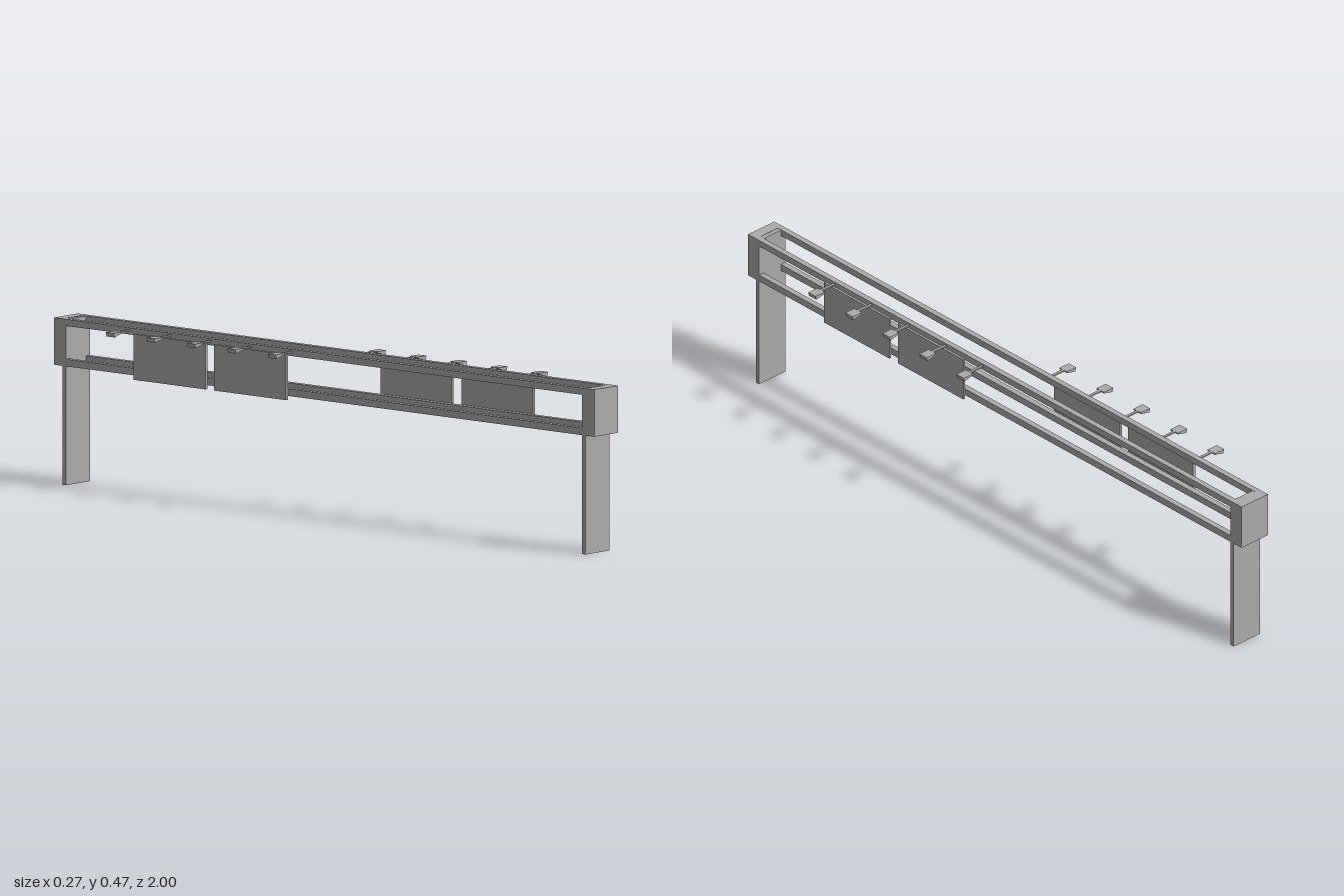
import * as THREE from 'three';

export function createModel() {
  const model = new THREE.Group();
  model.name = 'gantry';
  const grey = new THREE.MeshStandardMaterial({ color: 0xaaaaaa });
  grey.name = 'steel grey';

  // box given by its minimum and maximum on each axis
  function box(name, [x0, x1], [y0, y1], [z0, z1]) {
    const mesh = new THREE.Mesh(new THREE.BoxGeometry(x1 - x0, y1 - y0, z1 - z0), grey);
    mesh.name = name;
    mesh.position.set((x0 + x1) / 2, (y0 + y1) / 2, (z0 + z1) / 2);
    model.add(mesh);
  }

  const left = -0.052, right = 0.048, rail = 0.017;

  // four long rails
  for (const [name, y] of [['topRail', [0.446, 0.465]], ['bottomRail', [0.333, 0.353]]]) {
    box(name, [left, left + rail], y, [-0.968, 0.968]);
    box(name, [right - rail, right], y, [-0.968, 0.968]);
  }

  // end plates, with the legs fixed to their inner faces
  for (const s of [-1, 1]) {
    const span = (a, b) => [s * a, s * b].sort((p, q) => p - q);
    box('endPlate', [left, right], [0.333, 0.465], span(0.968, 1));
    box('leg', [left, right], [0, 0.464], span(0.955, 0.968));
  }

  // sign panels, two on each side
  for (const z of [[0.12, 0.385], [0.42, 0.685]]) box('signPanel', [right, 0.055], [0.322, 0.45], z);
  for (const z of [[-0.4, -0.133], [-0.697, -0.432]]) box('signPanel', [-0.06, left], [0.322, 0.45], z);

  // wedge-shaped lamp head, deeper at its outer end
  const wedge = new THREE.Shape([
    [0.098, 0.456], [0.13, 0.448], [0.133, 0.46], [0.098, 0.46],
  ].map(([x, y]) => new THREE.Vector2(x, y)));
  const lampGeometry = new THREE.ExtrudeGeometry(wedge, { depth: 0.03, bevelEnabled: false });
  lampGeometry.translate(0, 0, -0.015);

  // five lamps on arms along each side
  for (let i = 0; i < 5; i++) {
    for (const s of [-1, 1]) {
      const z = (s > 0 ? 0.05 : -0.72) + i * 0.15;
      box('lampArm', s > 0 ? [right, 0.1] : [-0.1, left], [0.456, 0.46], [z - 0.004, z + 0.004]);
      const lamp = new THREE.Mesh(lampGeometry, grey);
      lamp.name = 'lampHead';
      lamp.position.set(s < 0 ? -0.001 : 0, 0, z);
      lamp.rotation.y = s < 0 ? Math.PI : 0;
      model.add(lamp);
    }
  }
  return model;
}
